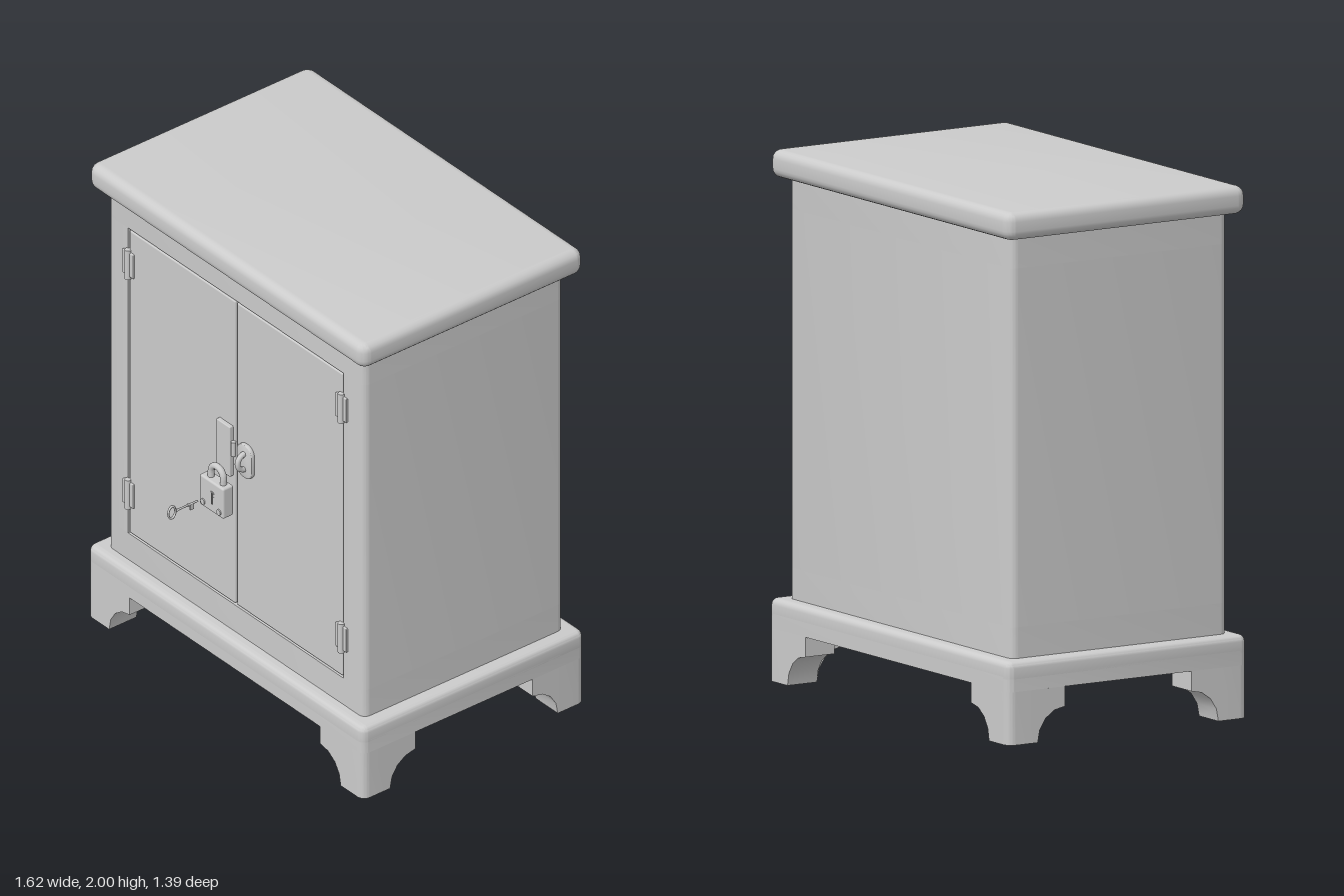
import * as THREE from 'three';
import { toCreasedNormals } from 'three/addons/utils/BufferGeometryUtils.js';
import { RoundedBoxGeometry } from 'three/addons/geometries/RoundedBoxGeometry.js';

const grey = new THREE.MeshStandardMaterial({ color: 0xcccccc });
const dark = new THREE.MeshStandardMaterial({ color: 0x555555 });

function add(parent, name, geo, x = 0, y = 0, z = 0, mat = grey) {
  const m = new THREE.Mesh(geo, mat);
  m.name = name;
  m.position.set(x, y, z);
  parent.add(m);
  return m;
}

// Rounded rectangle; optional notch [half width, depth] cut into the low-y edge
function roundRect(x0, y0, x1, y1, r, notch) {
  const s = new THREE.Shape();
  s.moveTo(x0 + r, y0);
  if (notch) {
    const [n, d] = notch;
    s.lineTo(-n, y0).lineTo(-n, y0 + d).lineTo(n, y0 + d).lineTo(n, y0);
  }
  s.lineTo(x1 - r, y0).absarc(x1 - r, y0 + r, r, -Math.PI / 2, 0);
  s.lineTo(x1, y1 - r).absarc(x1 - r, y1 - r, r, 0, Math.PI / 2);
  s.lineTo(x0 + r, y1).absarc(x0 + r, y1 - r, r, Math.PI / 2, Math.PI);
  s.lineTo(x0, y0 + r).absarc(x0 + r, y0 + r, r, Math.PI, Math.PI * 1.5);
  return s;
}

// Extrusion of total length h with an optional rounded bevel inside it
function extrude(shape, h, bevel = 0) {
  return toCreasedNormals(new THREE.ExtrudeGeometry(shape, {
    depth: h - 2 * bevel, bevelEnabled: bevel > 0, bevelThickness: bevel,
    bevelSize: bevel, bevelSegments: 5, curveSegments: 5,
  }).translate(0, 0, bevel), 0.6);
}

// Upright extrusion of a plan outline
const slab = (shape, h, bevel) => extrude(shape, h, bevel).rotateX(-Math.PI / 2);

function createModel() {
  const model = new THREE.Group();
  model.name = 'cabinet';
  const W = 0.808, F = 0.367, B = -0.693; // half width, front and back of top and base

  // Bull-nosed top and moulded base
  const edged = (b) => roundRect(-W + b, -F + b, W - b, -B - b, 0.008);
  add(model, 'top', slab(edged(0.035), 0.105, 0.035), 0, 1.895);
  add(model, 'baseMoulding', slab(edged(0.025), 0.09, 0.025), 0, 0.223);
  add(model, 'basePlinth', slab(roundRect(-W, -F, W, -B, 0.033), 0.055), 0, 0.2);

  // Carcass: plain rails below and above, notched section around the doors
  const plan = (notch) => roundRect(-0.75, -0.315, 0.75, 0.64, 0.03, notch);
  add(model, 'lowerBody', slab(plan(), 0.13), 0, 0.3);
  add(model, 'middleBody', slab(plan([0.63, 0.04]), 1.35), 0, 0.43);
  add(model, 'upperBody', slab(plan(), 0.13), 0, 1.78);

  // Bracket feet: corner post plus two arched wings
  const T = 0.13, L = 0.25, H = 0.2;
  const post = new THREE.Shape();
  post.moveTo(0, 0).lineTo(0, T).lineTo(-T, T).lineTo(-T, 0.033);
  post.absarc(-T + 0.033, 0.033, 0.033, Math.PI, Math.PI * 1.5);
  post.lineTo(0, 0);
  const wing = new THREE.Shape();
  wing.moveTo(T, 0);
  for (let i = 1; i <= 4; i++) {
    const a = i * Math.PI / 8;
    wing.lineTo(L - (L - T) * Math.cos(a), 0.125 * Math.sin(a));
  }
  wing.lineTo(L, H).lineTo(T, H).lineTo(T, 0);
  for (const sx of [-1, 1]) for (const sz of [-1, 1]) {
    const foot = new THREE.Group();
    foot.name = (sz > 0 ? 'front' : 'back') + (sx > 0 ? 'Left' : 'Right') + 'Foot';
    foot.position.set(sx * W, 0, sz > 0 ? F : B);
    // Corner faces -x, +z by default; quarter turns serve the other corners
    const turn = sz > 0 ? (sx < 0 ? 0 : 1) : (sx > 0 ? 2 : 3);
    foot.rotation.y = turn * Math.PI / 2;
    add(foot, 'footPost', slab(post, H), T, 0, 0).position.z = -0;
    add(foot, 'footWing', extrude(wing, T), 0, 0, -T);
    add(foot, 'footSideWing', extrude(wing, T), 0, 0, 0).rotation.y = Math.PI / 2;
    model.add(foot);
  }

  // Doors with a fine gap all round, and their hinges
  for (const s of [-1, 1]) {
    const side = s > 0 ? 'left' : 'right';
    add(model, side + 'Door', new RoundedBoxGeometry(0.621, 1.338, 0.04, 3, 0.007), s * 0.3145, 1.105, 0.295);
    for (const y of [0.61, 1.627]) {
      const hinge = new THREE.Group();
      hinge.name = side + 'Hinge';
      hinge.position.set(s * 0.624, y, 0.315);
      add(hinge, 'hingeLeaves', new RoundedBoxGeometry(0.064, 0.105, 0.016, 2, 0.003));
      add(hinge, 'hingeBarrel', new THREE.CylinderGeometry(0.013, 0.013, 0.128, 12), 0, 0, 0.006);
      model.add(hinge);
    }
  }

  // Hasp plate on the right door, staple on the left door
  add(model, 'haspPlate', new RoundedBoxGeometry(0.08, 0.22, 0.024, 2, 0.004), -0.055, 1.107, 0.32);
  add(model, 'haspKnuckle', new THREE.CylinderGeometry(0.01, 0.01, 0.06, 10), -0.005, 1.125, 0.322);
  add(model, 'staplePlate', extrude(roundRect(-0.039, -0.067, 0.039, 0.067, 0.034), 0.02, 0.005), 0.066, 1.107, 0.31);
  add(model, 'stapleLoop', new THREE.TorusGeometry(0.034, 0.011, 8, 20, Math.PI), 0.066, 1.107, 0.326)
    .rotation.set(0, -Math.PI / 2, -Math.PI / 2, 'YXZ');

  // Padlock hanging in front of the doors
  const lock = new THREE.Group();
  lock.name = 'padlock';
  lock.position.set(0.061, 1.012, 0.457);
  add(lock, 'lockBody', new RoundedBoxGeometry(0.14, 0.133, 0.05, 3, 0.008));
  const bow = new THREE.CurvePath();
  bow.add(new THREE.LineCurve3(new THREE.Vector3(-0.036, 0.05, 0), new THREE.Vector3(-0.036, 0.09, 0)));
  const arc = [];
  for (let i = 0; i <= 8; i++) {
    const a = Math.PI * (1 - i / 8);
    arc.push(new THREE.Vector3(0.036 * Math.cos(a), 0.09 + 0.036 * Math.sin(a), 0));
  }
  bow.add(new THREE.CatmullRomCurve3(arc));
  bow.add(new THREE.LineCurve3(new THREE.Vector3(0.036, 0.09, 0), new THREE.Vector3(0.036, 0.05, 0)));
  add(lock, 'shackle', new THREE.TubeGeometry(bow, 32, 0.013, 10), 0.005, 0, 0);
  for (const x of [-0.047, 0.047]) {
    add(lock, 'rivet', new THREE.CylinderGeometry(0.012, 0.012, 0.06, 12), x, -0.044, 0).rotation.x = Math.PI / 2;
  }
  add(lock, 'keyholePlate', new THREE.CylinderGeometry(0.013, 0.013, 0.054, 14), 0.005, 0.013, 0).rotation.x = Math.PI / 2;
  add(lock, 'keyholeSlot', new THREE.BoxGeometry(0.007, 0.05, 0.053), 0.005, -0.005, 0.001, dark);
  model.add(lock);

  // Key pointing at the padlock
  const key = new THREE.Group();
  key.name = 'key';
  key.position.set(0.066, 1.025, 0);
  const ring = add(key, 'keyBow', new THREE.TorusGeometry(0.024, 0.005, 8, 20), 0, 0, 0.674);
  ring.rotation.y = Math.PI / 2;
  ring.scale.set(0.7, 1.07, 1);
  add(key, 'keyShank', new THREE.CylinderGeometry(0.004, 0.004, 0.106, 10), 0, 0, 0.604).rotation.x = Math.PI / 2;
  for (const z of [0.596, 0.65]) {
    add(key, 'keyCollar', new THREE.CylinderGeometry(0.006, 0.006, 0.006, 10), 0, 0, z).rotation.x = Math.PI / 2;
  }
  add(key, 'keyBit', new THREE.BoxGeometry(0.005, 0.024, 0.016), 0, -0.014, 0.579);
  model.add(key);

  return model;
}

export { createModel };
